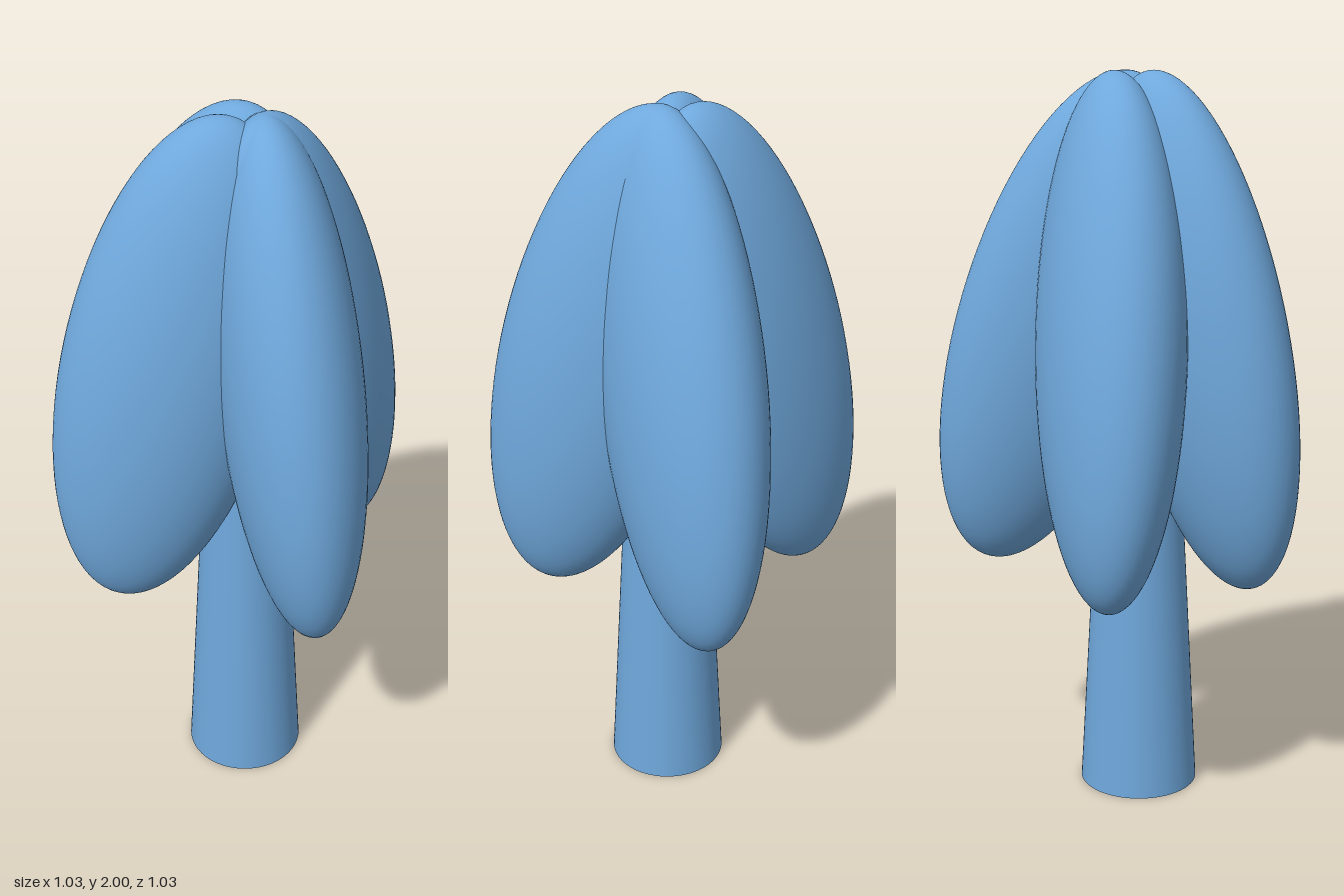
import * as THREE from 'three';

const HALF_HEIGHT = 0.68, MID_Y = 1.32;   // vertical half size and centre of each foliage lobe
const LONG = 0.29, SHORT = 0.187;         // half axes of a lobe's horizontal cross-section

// Ellipsoid whose cross-section is turned by yaw and whose top leans inwards
function lobe(name, material, { x, z, leanX, leanZ, yaw }) {
  const a = THREE.MathUtils.degToRad(yaw);
  const c = Math.cos(a), s = Math.sin(a);
  const shape = new THREE.Matrix4().makeBasis(
    new THREE.Vector3(c * LONG, 0, -s * LONG),
    new THREE.Vector3(leanX, HALF_HEIGHT, leanZ),
    new THREE.Vector3(s * SHORT, 0, c * SHORT)
  );
  const mesh = new THREE.Mesh(new THREE.SphereGeometry(1, 64, 48).applyMatrix4(shape), material);
  mesh.name = name;
  mesh.position.set(x, MID_Y, z);
  return mesh;
}

export function createModel() {
  const tree = new THREE.Group();
  tree.name = 'tree';
  const blue = new THREE.MeshStandardMaterial({ color: 0x6fa8dc });

  // Tapered trunk, its upper end hidden in the foliage
  const height = 1.2;
  const trunk = new THREE.Mesh(new THREE.CylinderGeometry(0.102, 0.166, height, 64), blue);
  trunk.name = 'trunk';
  trunk.position.set(-0.045, height / 2, 0.04);
  tree.add(trunk);

  // Four overlapping foliage lobes meeting at the crown
  const lobes = {
    frontFoliage: { x: -0.03, z: 0.212, leanX: 0.03, leanZ: -0.145, yaw: 242.5 },
    backFoliage: { x: -0.025, z: -0.2, leanX: 0.03, leanZ: 0.16, yaw: 121 },
    leftFoliage: { x: 0.182, z: 0.038, leanX: -0.178, leanZ: 0.02, yaw: 21.5 },
    rightFoliage: { x: -0.225, z: -0.04, leanX: 0.135, leanZ: 0.04, yaw: 142.5 },
  };
  for (const [name, spec] of Object.entries(lobes)) tree.add(lobe(name, blue, spec));

  return tree;
}
